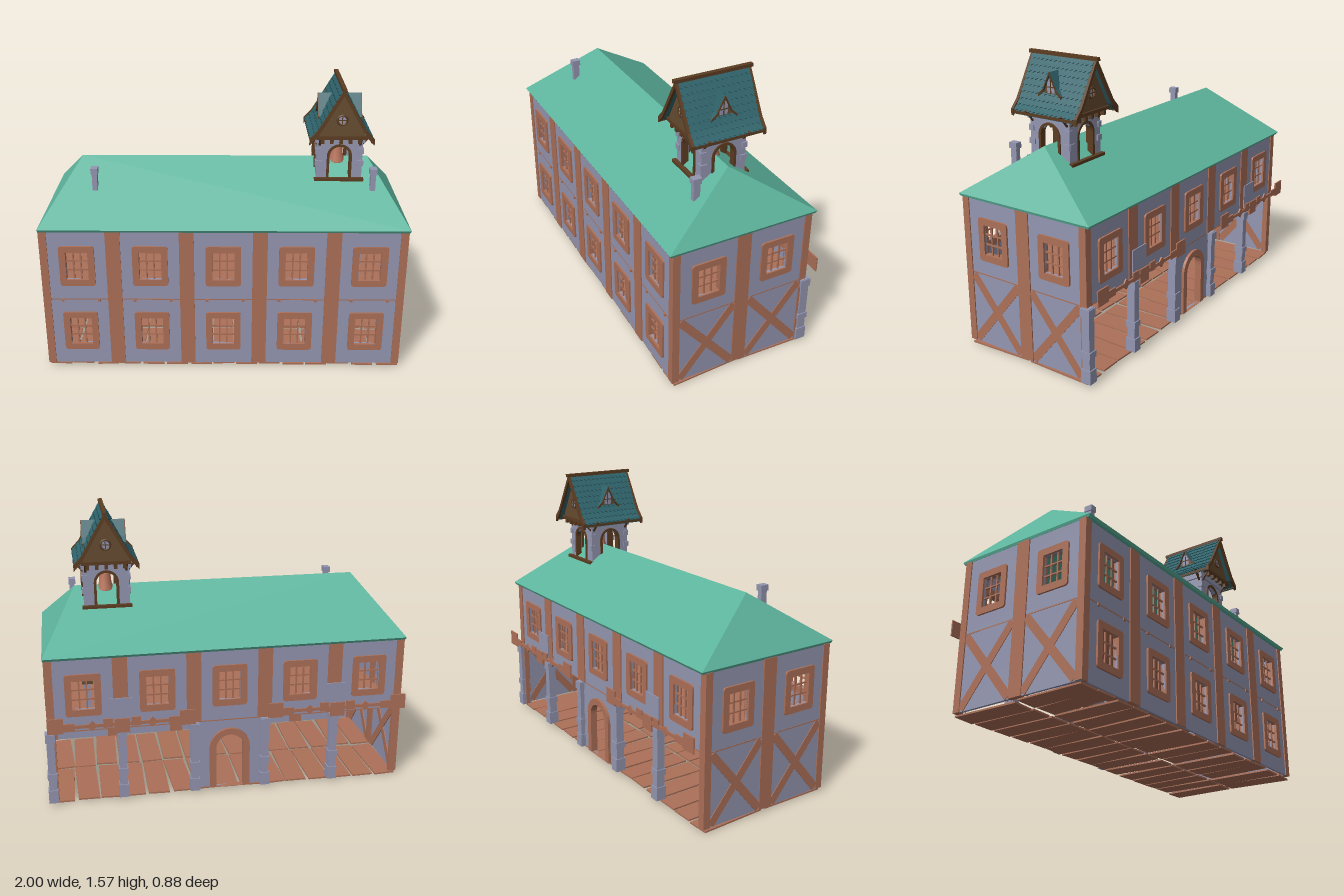
import * as THREE from 'three';
import { ConvexGeometry } from 'three/addons/geometries/ConvexGeometry.js';

const mat = (name, color, side = THREE.FrontSide) => {
  const m = new THREE.MeshStandardMaterial({ color, side });
  m.name = name;
  return m;
};
const M = {
  wall: mat('lavender plaster', 0x9496b1),
  timber: mat('red timber', 0xac7058),
  roof: mat('green roof', 0x5db49d),
  slate: mat('dark teal slate', 0x2f636b),
  wood: mat('dark wood', 0x664c30),
  trim: mat('dark trim', 0x5c3d22),
  bell: mat('copper', 0xb8745c),
};
const V2 = (x, y) => new THREE.Vector2(x, y);

function add(parent, name, geo, material, x = 0, y = 0, z = 0) {
  const m = new THREE.Mesh(geo, material);
  m.name = name;
  m.position.set(x, y, z);
  parent.add(m);
  return m;
}
const box = (parent, name, material, w, h, d, x, y, z) =>
  add(parent, name, new THREE.BoxGeometry(w, h, d), material, x, y, z);
function group(parent, name, x = 0, y = 0, z = 0, ry = 0) {
  const g = new THREE.Group();
  g.name = name;
  g.position.set(x, y, z);
  g.rotation.y = ry;
  parent.add(g);
  return g;
}
const extrude = (shape, depth) =>
  new THREE.ExtrudeGeometry(shape, { depth, bevelEnabled: false, curveSegments: 8 });

// Outline helpers, usable as a shape or a hole
function rect(T, x, y, w, h) {
  return new T([V2(x - w / 2, y - h / 2), V2(x + w / 2, y - h / 2), V2(x + w / 2, y + h / 2), V2(x - w / 2, y + h / 2)]);
}
function arch(T, x, y0, w, h) {
  const p = new T(), r = w / 2;
  p.moveTo(x - r, y0);
  p.lineTo(x + r, y0);
  p.lineTo(x + r, y0 + h - r);
  p.absarc(x, y0 + h - r, r, 0, Math.PI, false);
  p.lineTo(x - r, y0);
  return p;
}
function roundRect(w, h, r) {
  const s = new THREE.Shape(), a = w / 2, b = h / 2;
  s.moveTo(-a + r, -b);
  s.lineTo(a - r, -b).quadraticCurveTo(a, -b, a, -b + r);
  s.lineTo(a, b - r).quadraticCurveTo(a, b, a - r, b);
  s.lineTo(-a + r, b).quadraticCurveTo(-a, b, -a, b - r);
  s.lineTo(-a, -b + r).quadraticCurveTo(-a, -b, -a + r, -b);
  return s;
}

// Walls face local +z, outer timber surface at z = 0
const WIN_W = 0.12, WIN_H = 0.163, Y0 = 0.025, MID = 0.43, TOP = 0.845;
function addWindow(g, x, y) {
  const w = group(g, 'window', x, y, 0);
  const s = roundRect(0.192, 0.237, 0.018);
  s.holes.push(rect(THREE.Path, 0, 0, WIN_W, WIN_H));
  add(w, 'windowFrame', extrude(s, 0.034), M.timber, 0, 0, -0.03);
  for (const k of [-1, 1]) {
    box(w, 'muntin', M.timber, 0.008, WIN_H, 0.008, k * WIN_W / 6, 0, -0.014);
    box(w, 'muntin', M.timber, WIN_W, 0.008, 0.008, 0, k * WIN_H / 6, -0.014);
  }
}
function panel(g, w, y0, y1, windows, door) {
  const s = rect(THREE.Shape, 0, (y0 + y1) / 2, w, y1 - y0);
  for (const [x, y] of windows) s.holes.push(rect(THREE.Path, x, y, WIN_W, WIN_H));
  if (door) s.holes.push(arch(THREE.Path, 0, y0 + 0.001, 0.16, 0.32));
  add(g, 'wallPanel', extrude(s, 0.014), M.wall, 0, 0, -0.02);
  windows.forEach(([x, y]) => addWindow(g, x, y));
}
const post = (g, x, w, y0, y1) =>
  box(g, 'timberPost', M.timber, w, y1 - y0, 0.026, x, (y0 + y1) / 2, -0.013);

function longWall(g, back) {
  const xs = [-2, -1, 0, 1, 2].map(i => i * 0.396);
  panel(g, 1.976, MID, TOP, xs.map(x => [x, 0.635]));
  if (!back) panel(g, 1.976, Y0, MID, xs.map(x => [x, 0.232]));
  else panel(g, 0.396, Y0, MID, [], true);
  for (const i of [-1.5, -0.5, 0.5, 1.5]) post(g, i * 0.396, 0.08, back ? MID : Y0, TOP);
  for (const s of [-1, 1]) post(g, s * 0.969, 0.042, Y0, TOP);
  box(g, 'floorBeam', M.timber, 1.976, 0.006, 0.018, 0, MID, -0.014);
  if (!back) for (const x of xs) for (const d of [-0.09, 0.11])
    box(g, 'beamEnd', M.timber, 0.014, 0.014, 0.02, x + d, 0.425, -0.008);
}
function endWall(g) {
  panel(g, 0.79, MID, TOP, [[-0.197, 0.632], [0.2, 0.632]]);
  panel(g, 0.79, Y0, MID, []);
  post(g, 0, 0.08, Y0, TOP);
  for (const s of [-1, 1]) {
    post(g, s * 0.377, 0.04, Y0, TOP);
    for (const k of [-1, 1])
      box(g, 'crossBrace', M.timber, 0.045, 0.49, 0.022, s * 0.198, 0.228, -0.0135).rotation.z = k * 0.68;
  }
  box(g, 'floorBeam', M.timber, 0.79, 0.006, 0.018, 0, MID, -0.014);
}

// Curved gable roof along z from a half profile [[x, y], ...] running ridge to eave
function gableRoof(profile, thick, length) {
  const top = [...profile.slice(1).reverse().map(([x, y]) => V2(-x, y)), ...profile.map(([x, y]) => V2(x, y))];
  const under = top.map(p => V2(p.x, p.y - thick)).reverse();
  return extrude(new THREE.Shape([...top, ...under]), length).translate(0, 0, -length / 2);
}
function gableFace(profile, y0, drop) {
  const pts = profile.filter(p => p[1] - drop > y0).map(([x, y]) => V2(x, y - drop));
  const last = pts[pts.length - 1].x;
  return new THREE.Shape([...pts.slice(1).reverse().map(p => V2(-p.x, p.y)), ...pts, V2(last, y0), V2(-last, y0)]);
}

function bellTower(root) {
  const t = group(root, 'bellTower', 0.62, 0, 0.02);
  const W = 0.25;
  // Four arched walls with timber trim and base beams
  for (let i = 0; i < 4; i++) {
    const g = group(t, 'towerSide', 0, 0, 0, i * Math.PI / 2);
    const s = rect(THREE.Shape, 0, 1.165, W, 0.27);
    s.holes.push(arch(THREE.Path, 0, 1.031, 0.11, 0.195));
    add(g, 'towerWall', extrude(s, 0.025), M.wall, 0, 0, W / 2 - 0.025);
    const a = arch(THREE.Shape, 0, 1.032, 0.136, 0.208);
    a.holes.push(arch(THREE.Path, 0, 1.033, 0.108, 0.194));
    add(g, 'archTrim', extrude(a, 0.035), M.trim, 0, 0, W / 2 - 0.028);
    box(g, 'topBeam', M.wall, 0.27, 0.025, 0.02, 0, 1.262, W / 2);
    for (const k of [-1, 1]) {
      box(g, 'cornerStone', M.wall, 0.035, 0.03, 0.014, k * 0.112, 1.13, W / 2);
      box(g, 'cornerStone', M.wall, 0.028, 0.03, 0.014, k * 0.115, 1.2, W / 2);
      box(g, 'eaveStrut', M.trim, 0.012, 0.075, 0.012, k * 0.11, 1.265, W / 2 + 0.02).rotation.x = 0.7;
    }
    if (i % 2 === 0) {
      box(g, 'baseBeam', M.trim, 0.27, 0.018, 0.03, 0, 1.04, W / 2 + 0.008);
      for (const x of [-0.09, -0.03, 0.03, 0.09])
        box(g, 'baseBracket', M.trim, 0.018, 0.014, 0.03, x, 1.022, W / 2 + 0.008);
    }
  }
  // Bell
  const bell = [[0.001, 1.215], [0.024, 1.21], [0.03, 1.19], [0.035, 1.14], [0.048, 1.105], [0.044, 1.1], [0.001, 1.11]];
  add(t, 'bell', new THREE.LatheGeometry(bell.reverse().map(p => V2(...p)), 16), M.bell);
  box(t, 'bellBeam', M.trim, 0.23, 0.018, 0.018, 0, 1.222, 0);

  // Flared roof with scalloped shingle rows
  const prof = [[0, 1.555], [0.045, 1.475], [0.09, 1.392], [0.125, 1.33], [0.165, 1.285]];
  const L = 0.39, rows = 9, n = 14;
  add(t, 'towerRoof', gableRoof(prof, 0.018, L), M.slate);
  const strip = new THREE.Shape();
  strip.moveTo(-L / 2, 0.02);
  strip.lineTo(-L / 2, -0.012);
  for (let i = 0; i < n; i++) {
    const a = -L / 2 + (i * L) / n;
    strip.lineTo(a + L / n / 2, -0.022);
    strip.lineTo(a + L / n, -0.012);
  }
  strip.lineTo(L / 2, 0.02);
  const stripGeo = extrude(strip, 0.005);
  const curve = new THREE.SplineCurve(prof.map(p => V2(...p)));
  for (const s of [-1, 1]) for (let r = 0; r < rows; r++) {
    const u = (r + 0.5) / rows, p = curve.getPointAt(u), d = curve.getTangentAt(u);
    const up = new THREE.Vector3(-s * d.x, -d.y, 0), out = new THREE.Vector3(-s * d.y, d.x, 0);
    const v = up.clone().addScaledVector(out, -0.12).normalize();
    const w = out.clone().addScaledVector(up, 0.12).normalize();
    const m = add(t, 'shingleRow', stripGeo, M.slate);
    m.quaternion.setFromRotationMatrix(new THREE.Matrix4().makeBasis(v.clone().cross(w), v, w));
    m.position.set(s * p.x, p.y, 0).addScaledVector(out, 0.002);
  }
  box(t, 'ridgeBeam', M.trim, 0.022, 0.018, 0.435, 0, 1.56, 0);
  for (const s of [-1, 1]) box(t, 'eaveBoard', M.trim, 0.012, 0.014, 0.4, s * 0.163, 1.277, 0);

  // Gables with bargeboards, round windows and pegs
  for (const s of [0, 1]) {
    const g = group(t, 'gable', 0, 0, 0, s * Math.PI);
    add(g, 'gablePanel', extrude(gableFace(prof, 1.285, 0.012), 0.02), M.wood, 0, 0, 0.15);
    add(g, 'bargeboard', gableRoof(prof.map(([x, y]) => [x * 1.05, y + 0.008]), 0.034, 0.016), M.trim, 0, 0, 0.2);
    add(g, 'roundWindow', new THREE.CircleGeometry(0.024, 16), M.wall, 0, 1.39, 0.173);
    add(g, 'roundFrame', new THREE.TorusGeometry(0.026, 0.006, 6, 16), M.trim, 0, 1.39, 0.172);
    box(g, 'windowBar', M.trim, 0.005, 0.05, 0.006, 0, 1.39, 0.174);
    box(g, 'windowBar', M.trim, 0.05, 0.005, 0.006, 0, 1.39, 0.174);
    box(g, 'tieBeam', M.trim, 0.27, 0.018, 0.03, 0, 1.292, 0.165);
    for (let i = -2; i <= 2; i++) box(g, 'peg', M.trim, 0.018, 0.03, 0.02, i * 0.05, 1.272, 0.165);
  }
  // Dormers on both slopes
  const dp = [[0, 1.492], [0.018, 1.455], [0.042, 1.405], [0.072, 1.378]];
  for (const s of [-1, 1]) {
    const g = group(t, 'dormer', 0, 0, 0, s * Math.PI / 2);
    add(g, 'dormerRoof', gableRoof(dp, 0.012, 0.1), M.slate, 0, 0, 0.066);
    add(g, 'dormerTrim', gableRoof(dp, 0.014, 0.006), M.trim, 0, 0, 0.117);
    add(g, 'dormerFace', extrude(gableFace(dp, 1.378, 0.004), 0.07), M.wood, 0, 0, 0.035);
    add(g, 'dormerGlass', new THREE.ShapeGeometry(arch(THREE.Shape, 0, 1.385, 0.046, 0.072)), M.wall, 0, 0, 0.107);
    box(g, 'windowBar', M.trim, 0.005, 0.07, 0.004, 0, 1.42, 0.108);
    box(g, 'windowBar', M.trim, 0.044, 0.005, 0.004, 0, 1.415, 0.108);
  }
}

// Hanging ribbon board with a plaque behind it
function signBoard(root, x) {
  const g = group(root, 'signBoard', x, 0, -0.44);
  box(g, 'plaque', M.wall, 0.12, 0.14, 0.006, 0, 0.55, 0.03);
  box(g, 'centrePlate', M.timber, 0.08, 0.08, 0.008, 0, 0.475, 0);
  for (const s of [-1, 1]) {
    box(g, 'endFlag', M.timber, 0.085, 0.085, 0.008, s * 0.352, 0.495, 0);
    box(g, 'flagStep', M.timber, 0.06, 0.04, 0.008, s * 0.28, 0.485, 0);
    box(g, 'ribbon', M.timber, 0.24, 0.018, 0.008, s * 0.15, 0.485, 0);
    box(g, 'diamond', M.timber, 0.04, 0.04, 0.008, s * 0.16, 0.485, 0).rotation.z = Math.PI / 4;
    box(g, 'innerFlag', M.timber, 0.05, 0.05, 0.008, s * 0.075, 0.495, 0);
  }
}

export function createModel() {
  const root = new THREE.Group();
  root.name = 'timberHall';
  const cx = -0.01, cz = 0.0225;
  longWall(group(root, 'frontWall', cx, 0, 0.42), false);
  longWall(group(root, 'backWall', cx, 0, -0.375, Math.PI), true);
  endWall(group(root, 'leftWall', 0.98, 0, cz, Math.PI / 2));
  endWall(group(root, 'rightWall', -1, 0, cz, -Math.PI / 2));

  // Arched door surround
  const a = arch(THREE.Shape, 0, Y0, 0.225, 0.355);
  a.holes.push(arch(THREE.Path, 0, Y0 + 0.001, 0.155, 0.318));
  add(root, 'doorSurround', extrude(a, 0.04), M.timber, cx, 0, -0.385);

  // Stone columns along the open back
  for (const x of [0.968, 0.584, 0.188, -0.208, -0.604]) {
    const g = group(root, 'column', x, 0, -0.37);
    box(g, 'shaft', M.wall, 0.042, 0.405, 0.046, 0, 0.228, 0);
    for (const [y, h] of [[0.06, 0.075], [0.18, 0.035], [0.405, 0.045]])
      box(g, 'collar', M.wall, 0.052, h, 0.058, 0, y, 0);
  }
  for (const x of [-0.605, 0.585]) signBoard(root, x);

  // Loose floor planks and the upper floor
  let seed = 7;
  const rnd = () => ((seed = (seed * 16807) % 2147483647) / 2147483647) - 0.5;
  for (let r = 0; r < 2; r++) for (let i = 0; i < 15; i++) {
    const p = box(root, 'floorPlank', M.timber, 0.118, 0.009, 0.375, -0.93 + i * 0.1315, 0.013 + rnd() * 0.01, cz + (r - 0.5) * 0.397);
    p.rotation.set(0, rnd() * 0.1, rnd() * 0.06);
  }
  box(root, 'upperFloor', M.timber, 1.94, 0.012, 0.75, cx, MID, cz);
  // Small stands by the end windows
  for (const z of [0.185, -0.14]) {
    box(root, 'standTop', M.wood, 0.06, 0.035, 0.05, 0.75, 0.63, z);
    box(root, 'standLeg', M.wall, 0.03, 0.18, 0.03, 0.75, 0.525, z);
  }

  // Hipped main roof
  const pts = [[-0.8, 1.13, 0.02], [0.79, 1.13, 0.02]];
  for (const x of [-1, 0.985]) for (const z of [-0.4, 0.44])
    pts.push([x, 0.856, z], [x * 0.995, 0.842, z < 0 ? -0.392 : 0.432]);
  add(root, 'mainRoof', new ConvexGeometry(pts.map(p => new THREE.Vector3(...p))), M.roof);

  // Chimneys
  for (const x of [-0.71, 0.8]) {
    const g = group(root, 'chimney', x, 0, 0.205);
    box(g, 'chimneyStack', M.wall, 0.028, 0.19, 0.036, 0, 1.02, 0);
    box(g, 'chimneyCap', M.wall, 0.038, 0.032, 0.048, 0, 1.108, 0);
  }
  bellTower(root);
  return root;
}
